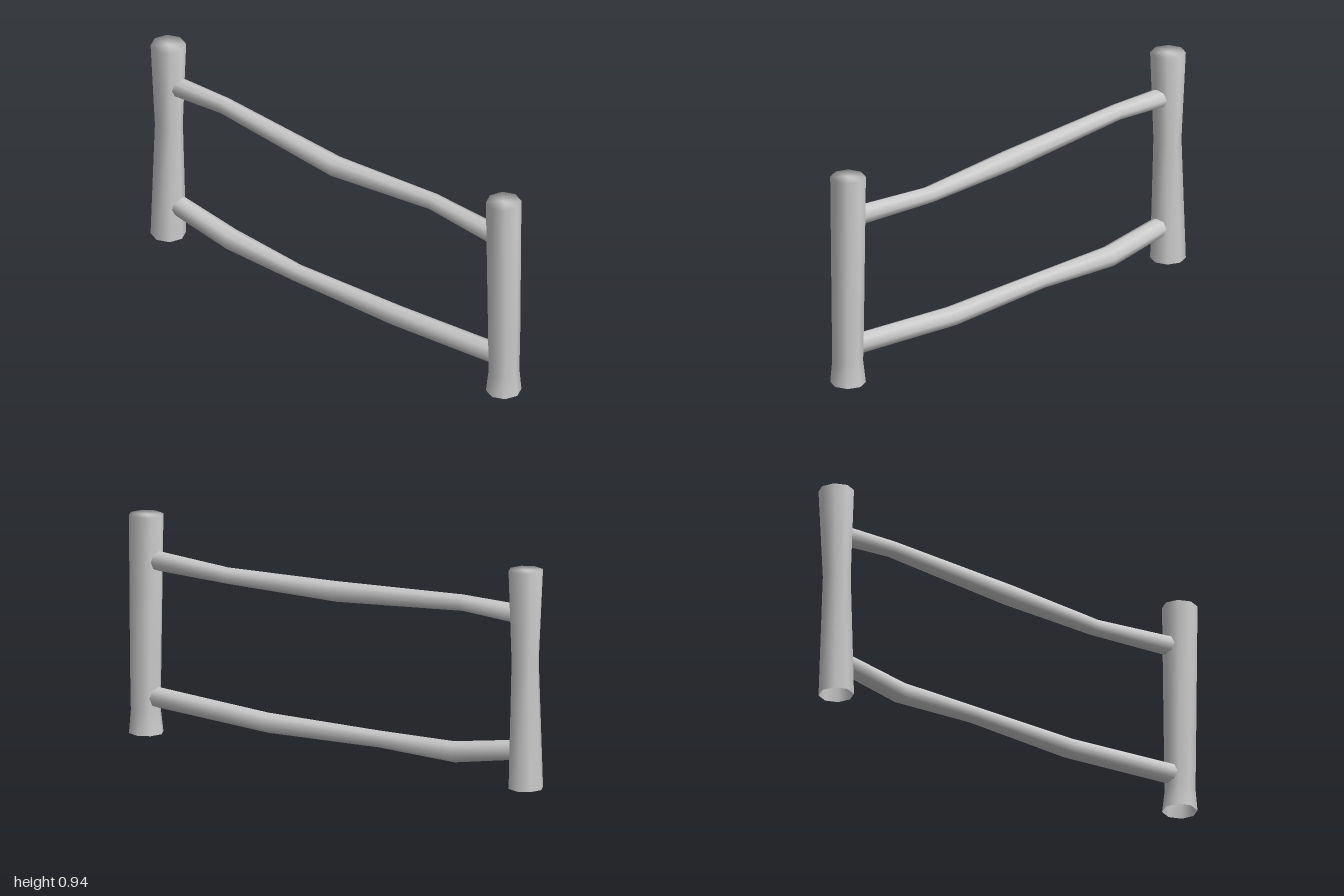
import * as THREE from 'three';
import { mergeVertices } from 'three/addons/utils/BufferGeometryUtils.js';

const SIDES = 8;
const material = new THREE.MeshStandardMaterial({ color: 0xcccccc, side: THREE.DoubleSide });

// Eight-sided log along y. Sections run top to bottom: [along, centreX, centreZ, radius]
function logGeometry(sections) {
  const cylinder = new THREE.CylinderGeometry(1, 1, 1, SIDES, sections.length - 1, true);
  const pos = cylinder.attributes.position;
  for (let i = 0; i < pos.count; i++) {
    const [y, cx, cz, r] = sections[Math.floor(i / (SIDES + 1))];
    pos.setXYZ(i, cx + r * pos.getX(i), y, cz + r * pos.getZ(i));
  }
  // weld the seam so the shading is smooth all round
  cylinder.deleteAttribute('uv');
  cylinder.deleteAttribute('normal');
  const welded = mergeVertices(cylinder, 1e-4);
  welded.computeVertexNormals();
  return welded;
}

// Upright post, closed on top and open underneath
function makePost(name, z, sections) {
  const top = sections[0];
  const mesh = new THREE.Mesh(logGeometry([[top[0], top[1], top[2], 0], ...sections]), material);
  mesh.name = name;
  mesh.position.z = z;
  return mesh;
}

// Crooked rail along z. Knots run front to back: [z, x, y, radius]
function makeRail(name, knots) {
  const geometry = logGeometry(knots.map(([z, x, y, r]) => [z, x, -y, r]));
  geometry.rotateX(Math.PI / 2);
  const mesh = new THREE.Mesh(geometry, material);
  mesh.name = name;
  return mesh;
}

export function createModel() {
  const group = new THREE.Group();
  group.name = 'fence';

  group.add(
    // flared foot on the front post
    makePost('frontPost', 0.925, [
      [0.945, -0.003, 0, 0.075],
      [0.3, -0.002, 0.002, 0.068],
      [0.1, -0.003, 0.002, 0.065],
      [0, -0.003, 0, 0.075],
    ]),
    // waisted back post
    makePost('backPost', -0.925, [
      [0.945, -0.003, 0, 0.075],
      [0.55, -0.003, 0.003, 0.059],
      [0, -0.003, 0, 0.075],
    ]),
    makeRail('upperRail', [
      [0.91, 0, 0.754, 0.044],
      [0.5, 0.039, 0.743, 0.036],
      [0, -0.007, 0.73, 0.045],
      [-0.62, 0.003, 0.765, 0.036],
      [-0.91, 0, 0.75, 0.043],
    ]),
    makeRail('lowerRail', [
      [0.91, 0, 0.163, 0.045],
      [0.33, -0.001, 0.119, 0.044],
      [-0.2, -0.018, 0.114, 0.037],
      [-0.58, 0, 0.112, 0.046],
      [-0.91, 0, 0.165, 0.043],
    ]),
  );
  return group;
}
